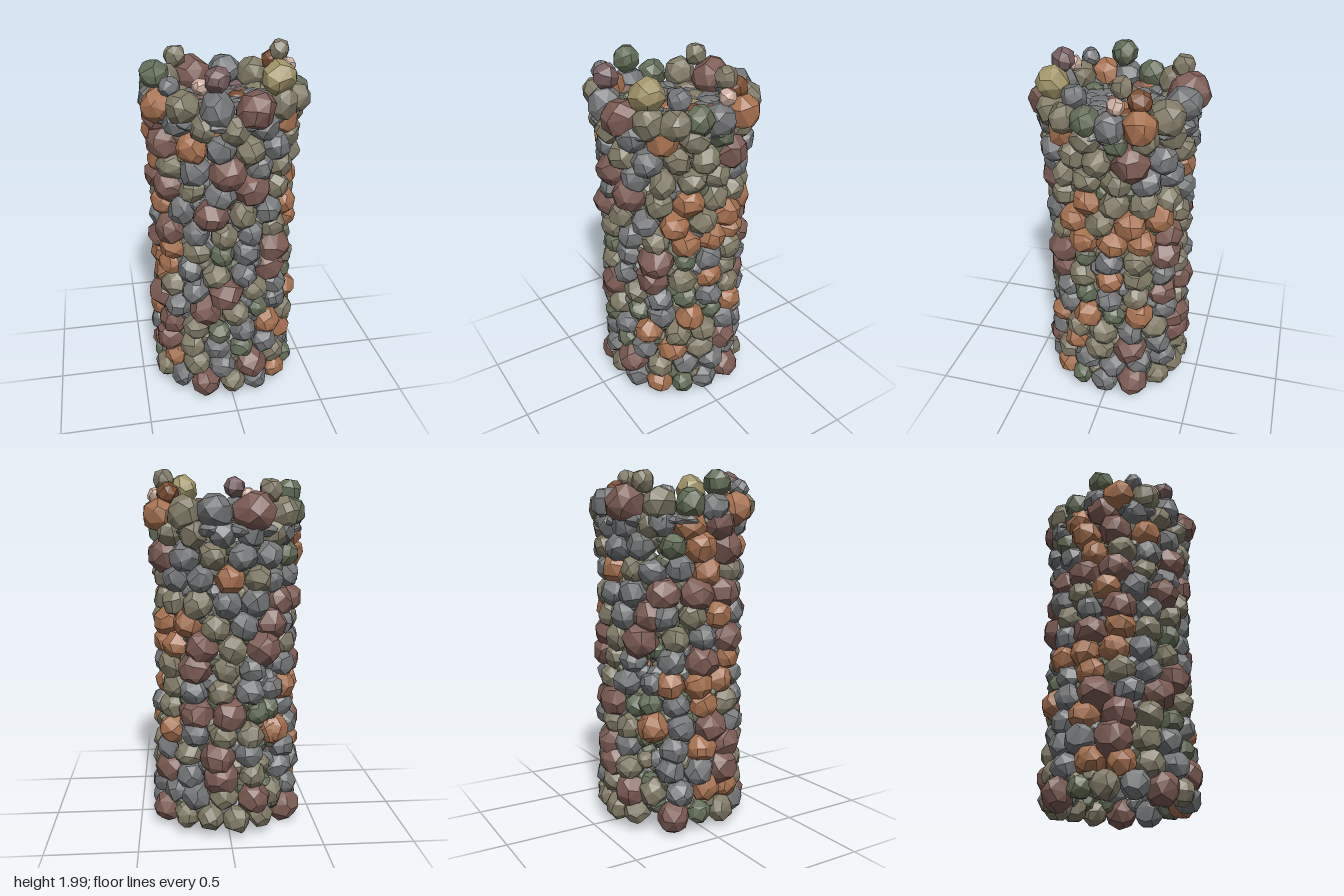
import * as THREE from 'three';
import { ConvexGeometry } from 'three/addons/geometries/ConvexGeometry.js';

// Small seeded random generator
let seed = 11;
function rand(min = 0, max = 1) {
  seed = (seed + 0x6d2b79f5) | 0;
  let t = Math.imul(seed ^ (seed >>> 15), 1 | seed);
  t = (t + Math.imul(t ^ (t >>> 7), 61 | t)) ^ t;
  return min + (max - min) * (((t ^ (t >>> 14)) >>> 0) / 4294967296);
}
const pick = (list) => list[Math.floor(rand(0, list.length))];

// Stone kinds: colour and usual radius
const KINDS = {
  brown: [0x7c5b54, 0.1],
  orange: [0xa5704f, 0.086],
  olive: [0x807a66, 0.081],
  grey: [0x737577, 0.081],
  green: [0x636d58, 0.07],
  yellow: [0x9f9367, 0.09],
  pink: [0xcbad9f, 0.045],
  purple: [0x775e60, 0.062],
  rust: [0x7b4d33, 0.062],
};
const LETTERS = { b: 'brown', o: 'orange', v: 'olive', g: 'grey', n: 'green' };
const WALL_KINDS = 'bvgonvbgovg';
const FLOOR_KINDS = ['grey', 'olive', 'grey', 'green', 'purple', 'brown', 'olive', 'grey', 'orange'];

// Wall courses from the ground up: x of the front stone,
// stones from it towards +x, stones from it towards -x
const COURSES = [
  [0, 'vgon', 'bgv'], [-0.06, 'gbvg', 'vo'], [0.05, 'ngov', 'gvb'], [0.06, 'gov', 'nvb'],
  [0.01, 'vngo', 'bgb'], [-0.04, 'bvg', 'gvo'], [0.06, 'gbv', 'vgo'], [0.08, 'gbn', 'nvo'],
  [-0.05, 'vgvo', 'gb'], [0.05, 'vgo', 'bgo'], [0.1, 'bvo', 'gvb'], [-0.03, 'bgv', 'gvo'],
  [-0.07, 'gvgv', 'ob'], [0.0, 'vgov', 'vgb'],
];

// Chiselled boulder of unit radius: hull of unevenly spread points
function boulderGeometry() {
  const points = [];
  const n = 28;
  for (let i = 0; i < n; i++) {
    const y = 1 - (2 * (i + 0.5)) / n;
    const a = i * 2.39996 + rand(-0.35, 0.35);
    const r = Math.sqrt(1 - y * y);
    points.push(new THREE.Vector3(Math.cos(a) * r, y + rand(-0.15, 0.15), Math.sin(a) * r).setLength(rand(0.97, 1.05)));
  }
  return new ConvexGeometry(points);
}

export function createModel() {
  seed = 11;
  const boulders = Array.from({ length: 10 }, boulderGeometry);
  const materials = {};
  for (const kind in KINDS) {
    materials[kind] = new THREE.MeshStandardMaterial({ color: KINDS[kind][0], flatShading: true });
  }

  function addStone(group, name, kind, x, y, z, r, flat = 1) {
    const mesh = new THREE.Mesh(pick(boulders), materials[kind]);
    mesh.name = name;
    mesh.position.set(x, y, z);
    mesh.rotation.y = rand(0, Math.PI * 2);
    if (flat === 1) {
      mesh.rotation.x = rand(0, Math.PI * 2);
      mesh.rotation.z = rand(0, Math.PI * 2);
    }
    mesh.scale.set(r * rand(0.96, 1.1), r * flat, r * rand(0.9, 1.04));
    group.add(mesh);
  }

  const tower = new THREE.Group();
  tower.name = 'stoneTower';
  const makeGroup = (name, parent = tower) => {
    const g = new THREE.Group();
    g.name = name;
    parent.add(g);
    return g;
  };

  // Hollow wall, flared at the foot and under the rim; each course is laid
  // stone against stone both ways from the front until it closes at the back
  const wall = makeGroup('wall');
  const pitch = 0.12;
  COURSES.forEach(([frontX, rightStones, leftStones], row) => {
    const y = 0.11 + row * pitch;
    const radius = row === 0 ? 0.36 : row < 5 ? 0.343 : row >= 12 ? 0.352 : 0.335;
    const course = makeGroup(`course${row + 1}`, wall);
    const frontAngle = Math.acos(frontX / radius);

    function lay(stones, dir, endAngle, first) {
      let a = frontAngle;
      let last = KINDS[LETTERS[rightStones[0]]][1];
      for (let i = 0; ; i++) {
        const kind = LETTERS[stones[i] ?? pick(WALL_KINDS)];
        const size = KINDS[kind][1] * rand(0.96, 1.04) * (row === 0 ? 0.95 : 1);
        if (!(first && i === 0)) a += (dir * (last + size) * 0.93) / radius;
        if ((a - endAngle) * dir > 0) break;
        const rr = radius + rand(-0.012, 0.012);
        addStone(course, 'wallStone', kind, Math.cos(a) * rr, y + rand(-0.01, 0.01), Math.sin(a) * rr, size);
        // Small deep-set stone closing the joint above
        if (row < COURSES.length - 1) {
          const b = a + (dir * size) / radius;
          addStone(course, 'jointStone', pick(['green', 'grey', 'olive']),
            Math.cos(b) * (rr - 0.035), y + pitch * 0.4, Math.sin(b) * (rr - 0.035), 0.052);
        }
        last = size;
      }
    }
    lay(rightStones, -1, -Math.PI * 0.75, true);
    lay(leftStones, 1, Math.PI * 1.25 + 0.1, false);
  });

  // Platform near the top: flat cobbles over a bed of broad grey slabs
  const platform = makeGroup('platform');
  addStone(platform, 'bedSlab', 'grey', 0.03, 1.68, 0, 0.15, 0.25);
  for (const [ring, count] of [[0, 1], [0.115, 6], [0.215, 11], [0.31, 16]]) {
    for (let i = 0; i < count; i++) {
      const a = ((i + rand(-0.1, 0.1)) / count) * Math.PI * 2 + ring * 4;
      const kind = ring === 0.115 && i === 4 ? 'yellow' : ring === 0.115 && i === 5 ? 'rust' : pick(FLOOR_KINDS);
      addStone(platform, 'cobble', kind, Math.cos(a) * ring, 1.7 + rand(-0.008, 0.008), Math.sin(a) * ring,
        rand(0.054, 0.066), 0.55);
      const b = a + Math.PI / count;
      const bedRing = ring + 0.03;
      addStone(platform, 'bedSlab', 'grey', Math.cos(b) * bedRing, 1.685, Math.sin(b) * bedRing, 0.086, 0.45);
    }
  }

  // Rim course: kind, x, y, z, radius
  const rim = makeGroup('rim');
  [
    ['brown', -0.12, 1.77, -0.34, 0.114], ['grey', 0.075, 1.78, -0.345, 0.098],
    ['olive', 0.23, 1.77, -0.295, 0.094], ['olive', -0.28, 1.77, -0.235, 0.094],
    ['green', -0.355, 1.77, -0.09, 0.08], ['grey', -0.365, 1.75, 0.05, 0.085],
    ['orange', -0.36, 1.75, 0.18, 0.09], ['olive', -0.25, 1.77, 0.295, 0.088],
    ['grey', -0.085, 1.76, 0.345, 0.094], ['brown', 0.105, 1.75, 0.355, 0.108],
    ['olive', 0.25, 1.76, 0.285, 0.085], ['olive', 0.34, 1.76, 0.195, 0.083],
    ['green', 0.37, 1.77, 0.08, 0.08], ['grey', 0.37, 1.75, -0.04, 0.085],
    ['orange', 0.36, 1.76, -0.19, 0.092],
  ].forEach(([kind, x, y, z, r]) => addStone(rim, 'rimStone', kind, x, y, z, r));

  // Loose stones resting on the rim like rough battlements
  const battlements = makeGroup('battlements');
  [
    ['olive', -0.21, 1.885, -0.29, 0.062], ['green', -0.36, 1.88, 0.07, 0.076],
    ['grey', -0.305, 1.86, 0.25, 0.053], ['pink', -0.16, 1.865, 0.3, 0.046],
    ['purple', -0.085, 1.905, 0.335, 0.066], ['yellow', 0.23, 1.89, 0.285, 0.09],
    ['grey', 0.3, 1.86, 0.15, 0.064], ['rust', 0.315, 1.87, -0.175, 0.062],
    ['olive', 0.335, 1.94, -0.095, 0.058], ['pink', 0.38, 1.86, -0.075, 0.045],
  ].forEach(([kind, x, y, z, r]) => addStone(battlements, 'looseStone', kind, x, y, z, r));

  return tower;
}
